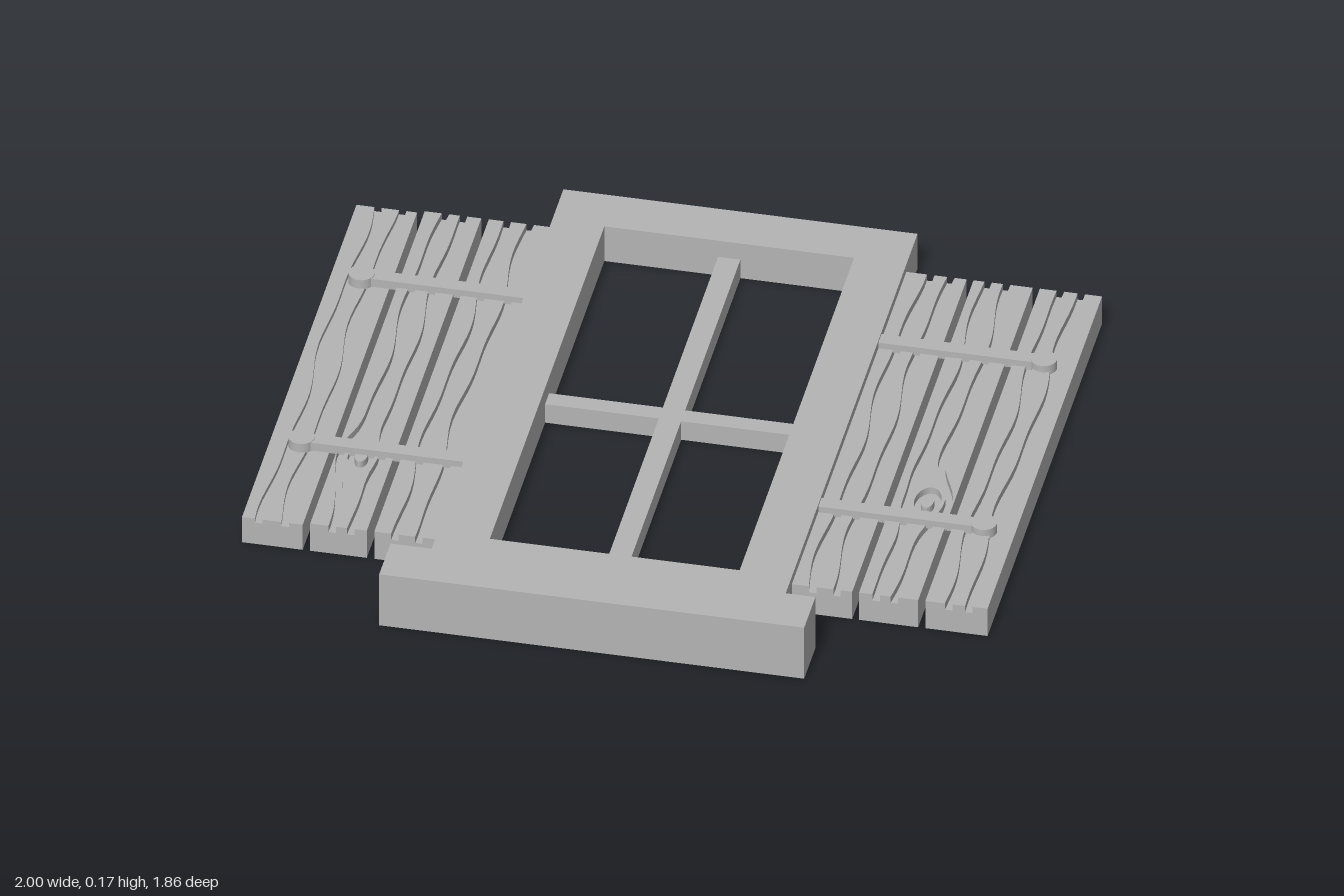
import * as THREE from 'three';

const stone = new THREE.MeshStandardMaterial({ color: 0xb4b4b4 });
stone.name = 'plain grey';

const Z0 = -0.79, Z1 = 0.64; // shutter ends
const GROOVE_FLOOR = 0.068, GROOVE = 0.02;

function add(parent, geometry, name) {
  const mesh = new THREE.Mesh(geometry, stone);
  mesh.name = name;
  parent.add(mesh);
  return mesh;
}

// Box given by its limits on each axis
function box(parent, name, x0, x1, y0, y1, z0, z1) {
  const g = new THREE.BoxGeometry(x1 - x0, y1 - y0, z1 - z0);
  g.translate((x0 + x1) / 2, (y0 + y1) / 2, (z0 + z1) / 2);
  return add(parent, g, name);
}

// Plan shape drawn in (x, -z), raised from y0 to y1
function slab(parent, name, shape, y0, y1) {
  const g = new THREE.ExtrudeGeometry(shape, { depth: y1 - y0, bevelEnabled: false, curveSegments: 20 });
  g.rotateX(-Math.PI / 2);
  g.translate(0, y0, 0);
  return add(parent, g, name);
}

// Outline between two edges, each an x position depending on z
function strip(left, right) {
  const pts = [], n = 44;
  const at = (i) => Z0 + ((Z1 - Z0) * i) / n;
  for (let i = 0; i <= n; i++) pts.push(new THREE.Vector2(left(at(i)), -at(i)));
  for (let i = n; i >= 0; i--) pts.push(new THREE.Vector2(right(at(i)), -at(i)));
  return new THREE.Shape(pts);
}

function ellipse(Kind, x, z, rx, rz) {
  const s = new Kind();
  s.absellipse(x, -z, rx, rz, 0, Math.PI * 2, false, 0);
  return s;
}

// Plank: solid base, with raised grain ridges between two wavy grooves
function plank(parent, { x0, x1, top, grooves, phase, knot }) {
  const group = new THREE.Group();
  group.name = 'plank';
  parent.add(group);
  box(group, 'plankBase', x0, x1, 0, GROOVE_FLOOR, Z0, Z1);

  const lines = grooves.map((c, i) => (z) => {
    const wave = 0.009 * Math.sin(z * 8 + phase + i * 0.7) + 0.005 * Math.sin(z * 17 + phase * 2 + i * 2);
    if (!knot) return c + wave;
    const near = Math.exp(-(((z - knot.z) / 0.1) ** 2));
    const around = knot.x + (i ? 0.055 : -0.055);
    return (c + wave) * (1 - near) + around * near;
  });
  const shift = (f, d) => (z) => f(z) + d;
  const h = GROOVE / 2;
  const ridges = [
    strip(() => x0, shift(lines[0], -h)),
    strip(shift(lines[0], h), shift(lines[1], -h)),
    strip(shift(lines[1], h), () => x1),
  ];
  if (knot) {
    ridges[1].holes.push(ellipse(THREE.Path, knot.x, knot.z, 0.035, 0.06));
    ridges.push(ellipse(THREE.Shape, knot.x, knot.z, 0.017, 0.032));
  }
  ridges.forEach((r) => slab(group, 'grainRidge', r, GROOVE_FLOOR, top));
}

export function createModel() {
  const model = new THREE.Group();
  model.name = 'shutteredWindow';

  // Frame with one rectangular opening
  const rect = (Kind, x, z0, z1) => new Kind([[-x, -z1], [x, -z1], [x, -z0], [-x, -z0]].map((p) => new THREE.Vector2(...p)));
  const frame = rect(THREE.Shape, 0.475, -0.93, 0.787);
  frame.holes.push(rect(THREE.Path, 0.335, -0.79, 0.64));
  slab(model, 'frame', frame, 0, 0.112);

  // Sill and glazing bars
  box(model, 'sill', -0.57, 0.57, 0, 0.165, 0.787, 0.928);
  box(model, 'uprightBar', -0.03, 0.03, 0, 0.06, -0.79, 0.64);
  box(model, 'crossBarRight', -0.335, -0.03, 0, 0.06, -0.1, -0.05);
  box(model, 'crossBarLeft', 0.03, 0.335, 0, 0.06, -0.1, -0.05);

  // Shutters, three planks each
  const shutters = {
    rightShutter: [
      { x0: -1, x1: -0.837, top: 0.081, grooves: [-0.945, -0.888], phase: 0.4 },
      { x0: -0.817, x1: -0.665, top: 0.088, grooves: [-0.768, -0.712], phase: 2.1, knot: { x: -0.75, z: 0.31 } },
      { x0: -0.645, x1: -0.475, top: 0.088, grooves: [-0.592, -0.53], phase: 3.6 },
    ],
    leftShutter: [
      { x0: 0.475, x1: 0.637, top: 0.088, grooves: [0.527, 0.588], phase: 1.2 },
      { x0: 0.655, x1: 0.814, top: 0.088, grooves: [0.698, 0.755], phase: 4.4, knot: { x: 0.745, z: 0.2 } },
      { x0: 0.833, x1: 1, top: 0.088, grooves: [0.89, 0.945], phase: 2.8 },
    ],
  };
  for (const [name, planks] of Object.entries(shutters)) {
    const shutter = new THREE.Group();
    shutter.name = name;
    model.add(shutter);
    planks.forEach((p) => plank(shutter, p));

    // Hinge straps with round ends
    const side = name === 'leftShutter' ? 1 : -1;
    for (const z of [-0.46, 0.29]) {
      const [a, b] = [side * 0.475, side * 0.9].sort((p, q) => p - q);
      box(shutter, 'hingeStrap', a, b, 0.08, 0.106, z - 0.02, z + 0.02);
      add(shutter, new THREE.CylinderGeometry(0.035, 0.035, 0.029, 20), 'hingeEnd').position.set(side * 0.915, 0.0935, z);
    }
  }
  return model;
}
